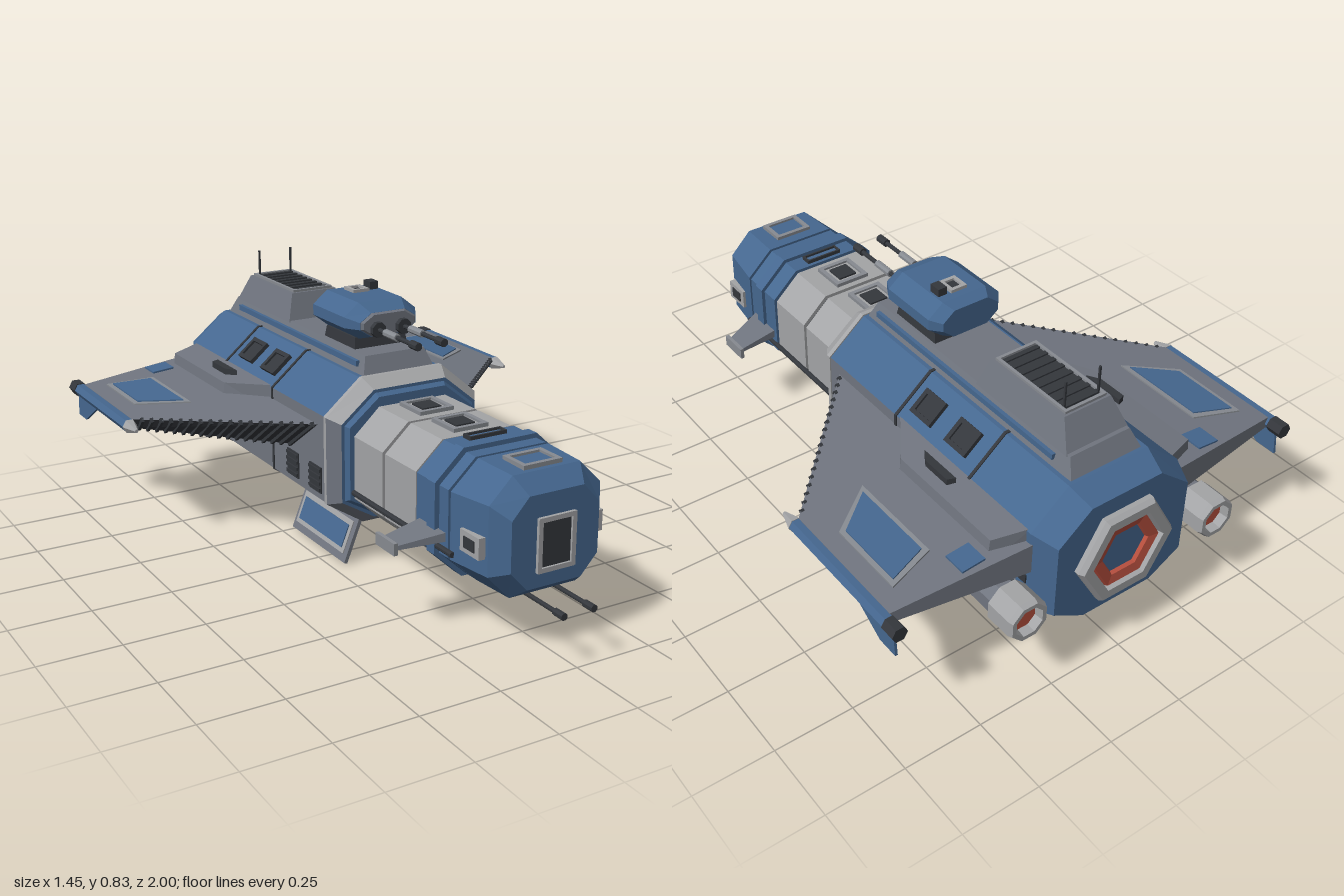
import * as THREE from 'three';

const mat = (name, color) => { const m = new THREE.MeshStandardMaterial({ color }); m.name = name; return m; };
const blue = mat('hull blue', 0x45678f), grey = mat('hull grey', 0x70757f), light = mat('light grey', 0xa3a4a6);
const dark = mat('dark metal', 0x34373c), red = mat('engine red', 0xb8503f), trim = mat('trim grey', 0x878b91);

// Flat-shaded mesh
function add(parent, name, geo, material) {
  const g = geo.index ? geo.toNonIndexed() : geo;
  g.computeVertexNormals();
  const mesh = new THREE.Mesh(g, material);
  mesh.name = name;
  parent.add(mesh);
  return mesh;
}

// Joins matching loops of points; one material, or one for each facet plus one for the caps
function loft(parent, name, loops, mats) {
  const n = loops[0].length, list = Array.isArray(mats) ? mats : Array(n + 1).fill(mats);
  const byMat = new Map();
  const tri = (m, ...p) => { if (!byMat.has(m)) byMat.set(m, []); byMat.get(m).push(p); };
  for (let i = 0; i + 1 < loops.length; i++) for (let j = 0; j < n; j++) {
    const k = (j + 1) % n, [a, b, c, d] = [loops[i][j], loops[i][k], loops[i + 1][k], loops[i + 1][j]];
    tri(list[j], a, b, c); tri(list[j], a, c, d);
  }
  const first = loops[0], last = loops[loops.length - 1];
  for (let j = 1; j + 1 < n; j++) {
    tri(list[n], first[0], first[j + 1], first[j]);
    tri(list[n], last[0], last[j], last[j + 1]);
  }
  // Turn every face outward using the signed volume
  let volume = 0;
  const V = (p) => new THREE.Vector3(...p);
  for (const tris of byMat.values()) for (const [a, b, c] of tris) volume += V(a).dot(V(b).cross(V(c)));
  const geo = new THREE.BufferGeometry(), pos = [], used = [];
  for (const [m, tris] of byMat) {
    geo.addGroup(pos.length / 3, tris.length * 3, used.length);
    used.push(m);
    for (const [a, b, c] of tris) pos.push(...a, ...(volume < 0 ? c : b), ...(volume < 0 ? b : c));
  }
  geo.setAttribute('position', new THREE.Float32BufferAttribute(pos, 3));
  return add(parent, name, geo, used.length > 1 ? used : used[0]);
}

// Octagonal section: z, half width, bottom, top, half width of flats, side bottom, side top
const oct = (z, w, b, t, c, l, u) =>
  [[w, l], [w, u], [c, t], [-c, t], [-w, u], [-w, l], [-c, b], [c, b]].map(([x, y]) => [x, y, z]);
const hullSec = (z, d = 0) => oct(z, 0.265 + d, 0.14 - d, 0.6 + d, 0.14 + d * 0.5, 0.22 - d * 0.5, 0.495 + d * 0.5);
const neckSec = (z, d = 0) => oct(z, 0.205 + d, 0.165 - d, 0.525 + d, 0.118 + d * 0.5, 0.245 - d * 0.5, 0.445 + d * 0.5);

function box(parent, name, m, x0, x1, y0, y1, z0, z1) {
  const g = new THREE.BoxGeometry(x1 - x0, y1 - y0, z1 - z0);
  return add(parent, name, g.translate((x0 + x1) / 2, (y0 + y1) / 2, (z0 + z1) / 2), m);
}
function rod(parent, name, m, x, y, z0, z1, r0, r1 = r0, n = 8) {
  const g = new THREE.CylinderGeometry(r1, r0, z1 - z0, n).rotateY(Math.PI / n).rotateX(Math.PI / 2);
  return add(parent, name, g.translate(x, y, (z0 + z1) / 2), m);
}
function bar(parent, name, m, a, b, w, h = w) {
  const A = new THREE.Vector3(...a), B = new THREE.Vector3(...b), dir = B.clone().sub(A);
  const mesh = add(parent, name, new THREE.BoxGeometry(w, dir.length(), h), m);
  mesh.quaternion.setFromUnitVectors(new THREE.Vector3(0, 1, 0), dir.normalize());
  mesh.position.copy(A.add(B).multiplyScalar(0.5));
}
// Plate with a raised rim, tilted about z
function hatch(parent, name, x, y, z, w, l, tilt, rim, fill, edge = 0.014) {
  const g = new THREE.Group();
  g.name = name;
  for (const s of [-1, 1]) {
    box(g, 'rim', rim, s * w / 2 - edge / 2, s * w / 2 + edge / 2, -0.008, 0.012, -l / 2 - edge / 2, l / 2 + edge / 2);
    box(g, 'rim', rim, -w / 2, w / 2, -0.008, 0.012, s * l / 2 - edge / 2, s * l / 2 + edge / 2);
  }
  box(g, 'inset', fill, -w / 2, w / 2, -0.002, 0.005, -l / 2, l / 2);
  g.position.set(x, y, z);
  g.rotation.z = tilt;
  parent.add(g);
}
// Ring profile of radius and depth, opening backward
function nozzle(parent, name, m, x, y, profile, n, start) {
  const pts = profile.map(([r, d]) => new THREE.Vector2(r, d));
  add(parent, name, new THREE.LatheGeometry(pts, n, start).rotateX(-Math.PI / 2).translate(x, y, 0), m);
}
// Adds a group and its mirror image
function pair(root, side) {
  root.add(side);
  side.updateMatrixWorld(true);
  const other = new THREE.Group();
  other.name = side.name + 'Right';
  side.name += 'Left';
  side.traverse((o) => {
    if (!o.isMesh) return;
    const g = o.geometry.clone().applyMatrix4(o.matrixWorld).scale(-1, 1, 1), p = g.attributes.position;
    for (let i = 0; i < p.count; i += 3) {
      const b = [p.getX(i + 1), p.getY(i + 1), p.getZ(i + 1)];
      p.setXYZ(i + 1, p.getX(i + 2), p.getY(i + 2), p.getZ(i + 2));
      p.setXYZ(i + 2, ...b);
    }
    add(other, o.name, g, o.material);
  });
  root.add(other);
}
const group = (name) => { const g = new THREE.Group(); g.name = name; return g; };

export function createModel() {
  const ship = group('spaceship');

  // Main hull with front collar and tapered stern
  loft(ship, 'hull', [hullSec(0.09), hullSec(-0.84)], [grey, blue, blue, blue, grey, blue, blue, blue, blue]);
  loft(ship, 'collar', [hullSec(0.095, 0.004), hullSec(0.08, 0.004)], light);
  loft(ship, 'collarSlope', [hullSec(0.14, -0.025), hullSec(0.095, 0.004)], [grey, light, light, light, grey, grey, grey, grey, blue]);
  loft(ship, 'collarFace', [hullSec(0.155, -0.045), hullSec(0.14, -0.035)], blue);
  loft(ship, 'stern', [hullSec(-0.84), hullSec(-0.89), hullSec(-0.97, -0.032)], blue);
  for (const z of [-0.27, -0.62]) loft(ship, 'hullSeam', [hullSec(z + 0.005, 0.003), hullSec(z - 0.005, 0.003)], dark);
  box(ship, 'keelPlate', blue, -0.1, 0.1, 0.128, 0.15, -0.87, -0.28);
  box(ship, 'keelInset', dark, -0.06, 0.06, 0.124, 0.13, -0.8, -0.34);

  // Neck and cockpit
  loft(ship, 'neckCore', [neckSec(0.7, -0.012), neckSec(0.1, -0.012)], dark);
  for (const [z0, z1, m, d] of [[0.15, 0.322, light, 0], [0.336, 0.505, light, 0], [0.515, 0.578, blue, 0.003],
    [0.582, 0.622, blue, 0.012], [0.627, 0.672, blue, 0]])
    loft(ship, 'neckSection', [neckSec(z1, d), neckSec(z0, d)], m);
  loft(ship, 'cockpit', [oct(0.885, 0.145, 0.205, 0.475, 0.09, 0.265, 0.415), oct(0.835, 0.185, 0.168, 0.522, 0.112, 0.245, 0.45),
    neckSec(0.69), neckSec(0.683)], blue);
  box(ship, 'frontWindow', dark, -0.05, 0.05, 0.26, 0.4, 0.88, 0.888);
  for (const s of [-1, 1]) {
    box(ship, 'windowFrame', light, s * 0.056 - 0.007, s * 0.056 + 0.007, 0.25, 0.408, 0.88, 0.895);
    box(ship, 'windowFrame', light, -0.06, 0.06, 0.329 + s * 0.073 - 0.007, 0.329 + s * 0.073 + 0.007, 0.88, 0.895);
  }
  for (const z of [0.235, 0.415]) {
    hatch(ship, 'neckHatch', 0, 0.525, z, 0.105, 0.105, 0, trim, light);
    box(ship, 'neckHatchWindow', dark, -0.032, 0.032, 0.525, 0.536, z - 0.032, z + 0.032);
  }
  hatch(ship, 'cockpitHatch', 0, 0.523, 0.77, 0.115, 0.085, 0, trim, blue);
  hatch(ship, 'neckPanel', 0, 0.528, 0.545, 0.12, 0.03, 0, dark, blue, 0.006);

  // Chin guns
  box(ship, 'chinMount', dark, -0.035, 0.035, 0.138, 0.17, 0.62, 0.78);

  // Dorsal spine, rear deckhouse and grille
  const slab = (z, w, y0, y1, w1) => [[-w, y0, z], [w, y0, z], [w1, y1, z], [-w1, y1, z]];
  loft(ship, 'spine', [slab(0.075, 0.13, 0.59, 0.6, 0.125), slab(0.05, 0.13, 0.59, 0.655, 0.105),
    slab(-0.85, 0.13, 0.59, 0.655, 0.105), slab(-0.88, 0.13, 0.59, 0.6, 0.125)], grey);
  const deck = (y, w, z0, z1) => [[-w, y, z0], [w, y, z0], [w, y, z1], [-w, y, z1]];
  loft(ship, 'deckhouse', [deck(0.65, 0.11, -0.84, -0.445), deck(0.74, 0.082, -0.79, -0.475)], grey);
  hatch(ship, 'deckGrille', 0, 0.736, -0.633, 0.135, 0.29, 0, trim, dark, 0.01);
  for (let i = 0; i < 8; i++) box(ship, 'grilleSlat', dark, -0.065, 0.065, 0.738, 0.746, -0.765 + i * 0.036, -0.75 + i * 0.036);

  // Dorsal turret
  const turret = group('turret');
  ship.add(turret);
  loft(turret, 'pedestal', [deck(0.645, 0.095, -0.23, -0.03), deck(0.69, 0.09, -0.22, -0.04)], dark);
  const tSec = (z, w, b, t) => oct(z, w, b, t, w * 0.6, b + (t - b) * 0.35, b + (t - b) * 0.65);
  loft(turret, 'turretBody', [tSec(0.01, 0.1, 0.7, 0.775), tSec(-0.04, 0.128, 0.685, 0.8), tSec(-0.24, 0.128, 0.685, 0.8),
    tSec(-0.275, 0.1, 0.695, 0.785)], blue);
  loft(turret, 'turretFace', [tSec(0.018, 0.09, 0.705, 0.77), tSec(0.008, 0.1, 0.7, 0.776)], grey);
  hatch(turret, 'turretHatch', 0, 0.798, -0.185, 0.045, 0.05, 0, light, dark, 0.012);
  box(turret, 'turretSensor', dark, 0.04, 0.07, 0.795, 0.825, -0.21, -0.17);

  // Main engine
  nozzle(ship, 'mainNozzle', light, 0, 0.367, [[0.17, 0.96], [0.17, 0.985], [0.16, 1], [0.128, 1], [0.122, 0.975]], 6, Math.PI / 2);
  nozzle(ship, 'mainEngineGlow', red, 0, 0.367, [[0.123, 0.978], [0.118, 0.99], [0.085, 0.985], [0.08, 0.974]], 6, Math.PI / 2);
  nozzle(ship, 'mainEngineCore', blue, 0, 0.367, [[0.084, 0.974], [0, 0.974]], 6, Math.PI / 2);

  // Side details of hull and neck
  const side = group('sideDetails');
  for (const z of [-0.355, -0.52]) hatch(side, 'hullWindow', 0.205, 0.547, z, 0.07, 0.08, -0.7, dark, dark, 0.014);
  for (const z of [0.02, -0.13]) {
    box(side, 'sideVent', dark, 0.26, 0.269, 0.24, 0.325, z - 0.038, z + 0.038);
    for (let i = 0; i < 4; i++) box(side, 'ventSlat', dark, 0.262, 0.274, 0.247 + i * 0.021, 0.257 + i * 0.021, z - 0.036, z + 0.036);
  }
  bar(side, 'spineStripe', blue, [0.12, 0.629, 0.03], [0.12, 0.629, -0.8], 0.012, 0.018);
  for (let i = 0; i < 3; i++) box(side, 'sternVent', dark, 0.262, 0.269, 0.31 + i * 0.05, 0.34 + i * 0.05, -0.885, -0.85);
  rod(side, 'neckPipe', dark, 0.208, 0.265, 0.14, 0.7, 0.009);
  box(side, 'cockpitSidePod', light, 0.17, 0.208, 0.295, 0.358, 0.735, 0.825);
  box(side, 'cockpitSideWindow', dark, 0.2, 0.211, 0.31, 0.343, 0.755, 0.805);
  rod(side, 'chinGun', dark, 0.05, 0.165, 0.65, 1, 0.007);
  rod(side, 'chinMuzzle', dark, 0.05, 0.165, 0.96, 1, 0.011);
  rod(side, 'turretPort', dark, 0.045, 0.725, 0, 0.035, 0.025);
  rod(side, 'turretGun', dark, 0.045, 0.725, 0, 0.255, 0.007);
  rod(side, 'turretGunSleeve', trim, 0.045, 0.725, 0.07, 0.14, 0.012);
  rod(side, 'turretMuzzle', dark, 0.045, 0.725, 0.22, 0.26, 0.013);
  box(side, 'antenna', dark, 0.057, 0.063, 0.735, 0.83, -0.765, -0.759);
  pair(ship, side);

  // Small winglets on the neck
  const winglet = group('winglet');
  const wl = (x, y, z0, z1, h) => [[x, y - h, z0], [x, y - h, z1], [x, y + h, z1], [x, y + h, z0]];
  loft(winglet, 'wingletBlade', [wl(0.19, 0.305, 0.53, 0.665, 0.014), wl(0.34, 0.28, 0.535, 0.612, 0.006)], grey);
  box(winglet, 'wingletTip', trim, 0.334, 0.346, 0.262, 0.298, 0.52, 0.62);
  pair(ship, winglet);

  // Main wings with ribbed leading edge, panels and tip pods
  const wing = group('wing');
  const top = (x, z, d = 0) => [x, 0.46 - (x - 0.25) * 0.091 + d, z];
  const rib = (x) => {
    const t = (x - 0.25) / 0.44;
    return [[x, 0.46 - t * 0.04, 0.05 - t * 0.46], [x, 0.345 + t * 0.04, -0.12 - t * 0.32],
      [x, 0.36 + t * 0.025, -0.9 + t * 0.05], [x, 0.46 - t * 0.04, -0.9 + t * 0.05]];
  };
  loft(wing, 'wingBlade', [rib(0.25), rib(0.69)], [dark, grey, grey, grey, grey]);
  for (let i = 0; i < 18; i++) { const [a, b] = rib(0.275 + i * 0.023); bar(wing, 'wingRib', dark, a, b, 0.01, 0.016); }
  const plate = (name, m, pts, d) => loft(wing, name, [pts.map(([x, z]) => top(x, z, -0.004)), pts.map(([x, z]) => top(x, z, d))], m);
  plate('panelFrame', trim, [[0.485, -0.74], [0.635, -0.785], [0.635, -0.53], [0.485, -0.42]], 0.005);
  plate('wingPanel', blue, [[0.5, -0.725], [0.62, -0.765], [0.62, -0.54], [0.5, -0.445]], 0.009);
  plate('smallWingPanel', blue, [[0.39, -0.86], [0.465, -0.86], [0.465, -0.785], [0.39, -0.785]], 0.006);
  const root = (y, y2, s) => [[0.25, y, -0.27], [0.37 - s, y2, -0.43], [0.37 - s, y2, -0.84], [0.25, y, -0.88]];
  loft(wing, 'wingRoot', [root(0.4, 0.4, 0), root(0.5, 0.485, 0.01)], grey);
  loft(wing, 'wingRootVent', [0.48, 0.51].map((y) => [[0.3, y, -0.46], [0.325, y, -0.5], [0.325, y, -0.6], [0.3, y, -0.61]]), dark);
  rod(wing, 'tipPod', blue, 0.7, 0.4, -0.87, -0.41, 0.022, 0.022, 6);
  rod(wing, 'tipCone', light, 0.7, 0.4, -0.41, -0.35, 0.024, 0.006, 6);
  rod(wing, 'tipTail', dark, 0.7, 0.4, -0.91, -0.86, 0.025, 0.025, 6);
  loft(wing, 'tipFin', [0.694, 0.702].map((x) => [[x, 0.39, -0.68], [x, 0.39, -0.88], [x, 0.305, -0.89], [x, 0.305, -0.82]]), blue);
  pair(ship, wing);

  // Engines under the wings
  const engine = group('wingEngine');
  const E = [0.345, 0.305], a8 = Math.PI / 8;
  nozzle(engine, 'engineBody', grey, ...E, [[0.036, 0.55], [0.04, 0.54], [0.056, 0.58], [0.056, 0.9]], 8, a8);
  nozzle(engine, 'engineIntake', dark, ...E, [[0, 0.55], [0.04, 0.545]], 8, a8);
  nozzle(engine, 'engineNozzle', light, ...E, [[0.05, 0.89], [0.068, 0.9], [0.068, 0.985], [0.062, 1], [0.048, 1], [0.044, 0.97]], 8, a8);
  nozzle(engine, 'engineGlow', red, ...E, [[0.046, 0.972], [0, 0.972]], 8, a8);
  box(engine, 'enginePylon', grey, 0.325, 0.365, 0.34, 0.4, -0.86, -0.6);
  pair(ship, engine);

  // Splayed skids under the hull
  const skid = group('skid');
  const leaf = (y0, y1, z0, z1, o0, o1) => [o0, o1].map((o) => [[y0, z0], [y1, z0], [y1, z1], [y0, z1]]
    .map(([y, z]) => [0.205 - y * 0.4 + o, y + o * 0.4, z]));
  loft(skid, 'skidPlate', leaf(0.005, 0.17, -0.26, 0.09, -0.006, 0.005), grey);
  loft(skid, 'skidFrame', leaf(0.028, 0.128, -0.245, 0.07, 0.004, 0.008), light);
  loft(skid, 'skidPanel', leaf(0.042, 0.112, -0.23, 0.055, 0.006, 0.011), blue);
  pair(ship, skid);

  return ship;
}
